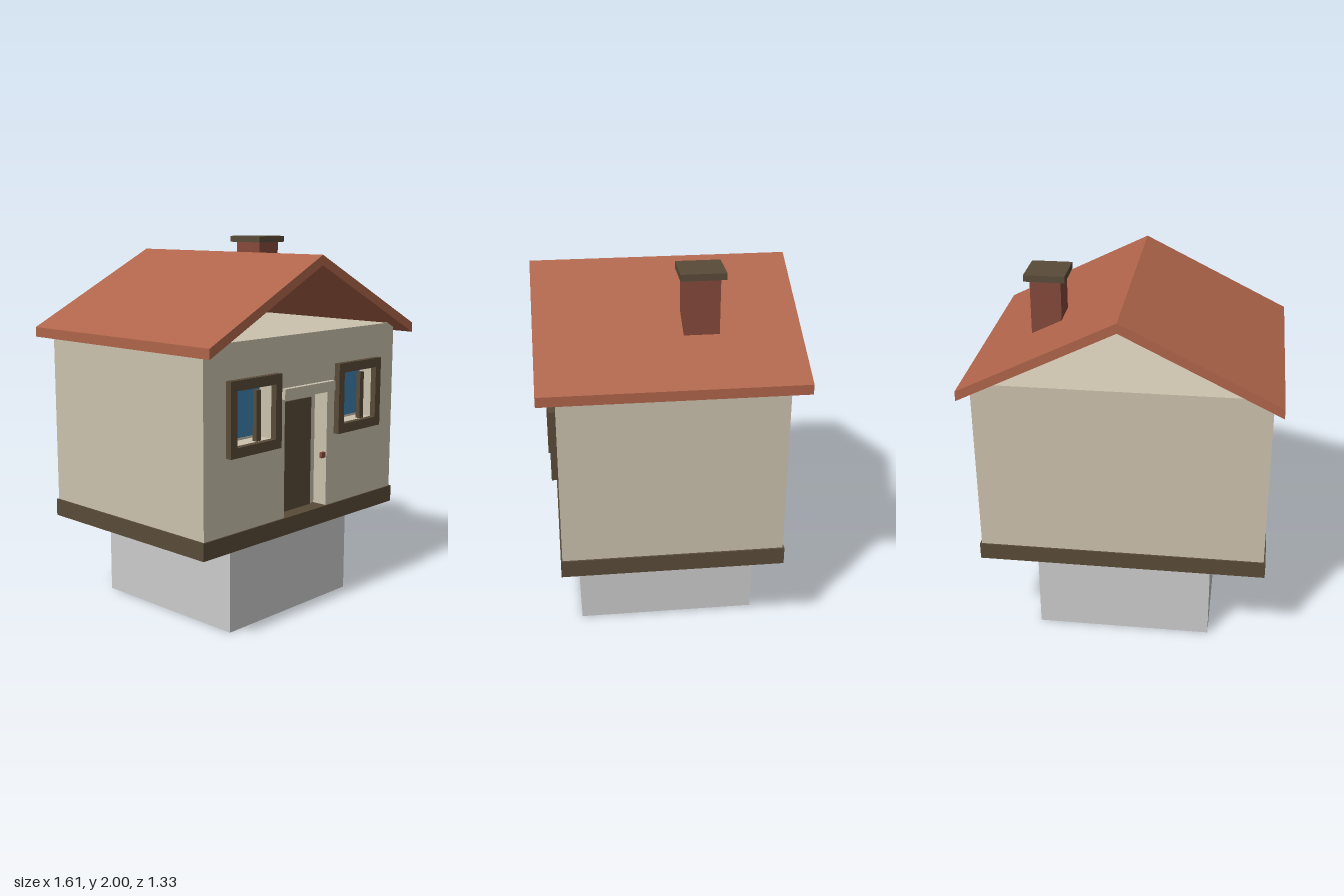
import * as THREE from 'three';

const mat = (name, color) => {
  const m = new THREE.MeshStandardMaterial({ color });
  m.name = name;
  return m;
};

// Polygon from a list of [x, y] corners
const polygon = (Type, points) => new Type(points.map(([x, y]) => new THREE.Vector2(x, y)));
const rect = (x, y, hw, hh) => [[x - hw, y - hh], [x + hw, y - hh], [x + hw, y + hh], [x - hw, y + hh]];

export function createModel() {
  const wall = mat('cream wall', 0xccc2ad);
  const trim = mat('dark brown trim', 0x594b38);
  const tile = mat('terracotta roof', 0xb0654a);
  const brick = mat('brick red', 0x86493a);
  const glass = mat('blue glass', 0x3d80ae);
  const stone = mat('grey stone', 0xcccccc);

  const house = new THREE.Group();
  house.name = 'house';

  const add = (name, geometry, material, parent = house) => {
    const mesh = new THREE.Mesh(geometry, material);
    mesh.name = name;
    parent.add(mesh);
    return mesh;
  };
  // Box given by its extents along each axis
  const box = (name, material, [x0, x1], [y0, y1], [z0, z1], parent) => {
    const g = new THREE.BoxGeometry(x1 - x0, y1 - y0, z1 - z0);
    g.translate((x0 + x1) / 2, (y0 + y1) / 2, (z0 + z1) / 2);
    return add(name, g, material, parent);
  };
  // Flat shape extruded from z0 to z1
  const slab = (name, material, shape, z0, z1, parent) => {
    const g = new THREE.ExtrudeGeometry(shape, { depth: z1 - z0, bevelEnabled: false });
    g.translate(0, 0, z0);
    return add(name, g, material, parent);
  };

  // Footing and floor slab
  box('plinth', stone, [-0.474, 0.474], [0, 0.48], [-0.474, 0.474]);
  box('floorSlab', trim, [-0.767, 0.767], [0.48, 0.572], [-0.58, 0.58]);

  // Walls: solid core plus a front layer with openings for door and windows
  const winX = 0.417, winY = 1.152, open = 0.14, recess = 0.487, face = 0.572;
  box('wallCore', wall, [-0.757, 0.757], [0.572, 1.525], [-0.572, recess]);
  const front = polygon(THREE.Shape, [
    [-0.757, 0.572], [-0.172, 0.572], [-0.172, 1.203], [0.172, 1.203],
    [0.172, 0.572], [0.757, 0.572], [0.757, 1.525], [-0.757, 1.525],
  ]);
  for (const s of [-1, 1]) front.holes.push(polygon(THREE.Path, rect(s * winX, winY, open, open)));
  slab('frontWall', wall, front, recess, face);

  // Door in its niche, with lintel and handle
  box('door', trim, [-0.13, 0.13], [0.572, 1.165], [recess, 0.497]);
  box('lintel', wall, [-0.203, 0.203], [1.203, 1.257], [0.56, 0.6]);
  box('doorHandle', brick, [0.08, 0.11], [0.855, 0.885], [0.6, 0.615]);

  // Pair of windows
  for (const s of [-1, 1]) {
    const win = new THREE.Group();
    win.name = s > 0 ? 'leftWindow' : 'rightWindow';
    house.add(win);
    const x = s * winX;
    const frame = polygon(THREE.Shape, rect(x, winY, 0.185, 0.191));
    frame.holes.push(polygon(THREE.Path, rect(x, winY, open, open)));
    slab('windowFrame', trim, frame, face, 0.605, win);
    box('windowPane', glass, [x - 0.134, x + 0.134], [1.027, 1.282], [recess, 0.496], win);
    box('mullion', trim, [x - 0.016, x + 0.016], [1.027, 1.282], [0.59, 0.615], win);
  }

  // Gabled roof, open underneath at both ends
  slab('roof', tile, polygon(THREE.Shape, [
    [-0.806, 1.473], [0, 1.873], [0.806, 1.473],
    [0.806, 1.525], [0, 1.925], [-0.806, 1.525],
  ]), -0.665, 0.665);

  // Chimney with cap
  box('chimney', brick, [0.339, 0.497], [1.66, 1.967], [-0.254, -0.075]);
  box('chimneyCap', trim, [0.313, 0.523], [1.966, 2.0], [-0.279, -0.052]);

  return house;
}
